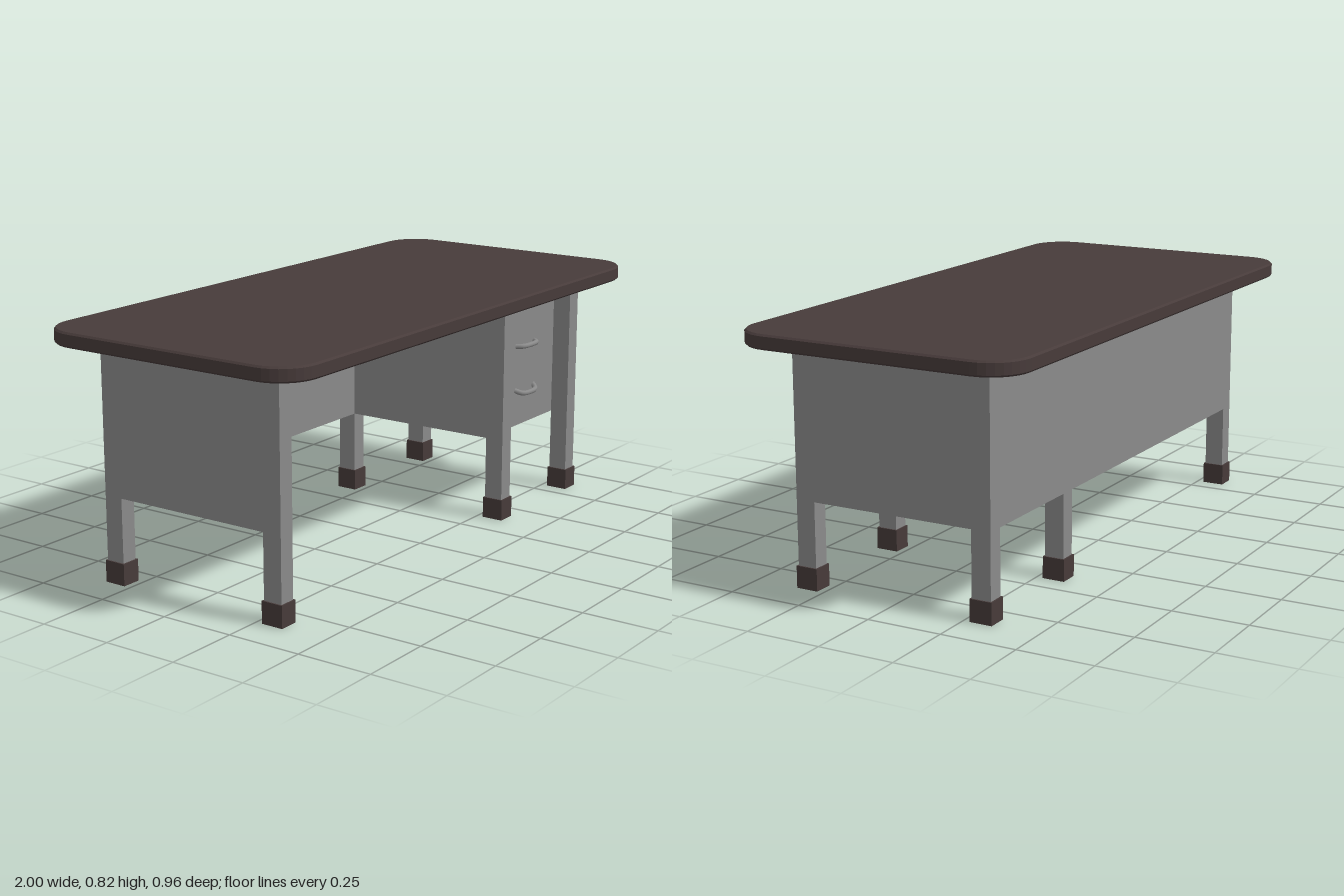
import * as THREE from 'three';

export function createModel() {
  const desk = new THREE.Group();
  desk.name = 'desk';
  const grey = new THREE.MeshStandardMaterial({ color: 0x8a8a8a });
  grey.name = 'grey metal';
  const brown = new THREE.MeshStandardMaterial({ color: 0x473b3a });
  brown.name = 'dark brown';

  // Box given by its limits on each axis
  function box(name, material, [x0, x1], [y0, y1], [z0, z1]) {
    const mesh = new THREE.Mesh(new THREE.BoxGeometry(x1 - x0, y1 - y0, z1 - z0), material);
    mesh.position.set((x0 + x1) / 2, (y0 + y1) / 2, (z0 + z1) / 2);
    mesh.name = name;
    desk.add(mesh);
  }

  const underTop = 0.772, panelBottom = 0.284, footTop = 0.072;
  const halfLeg = 0.028, legIn = 0.277, legOut = 0.342;
  const legX = [-0.843, 0.393, 0.84];

  // Table top: rounded corners and a small bevel
  const bevel = 0.006, w = 1 - bevel, d = 0.48 - bevel, r = 0.12;
  const outline = new THREE.Shape();
  outline.moveTo(-w + r, -d);
  outline.lineTo(w - r, -d);
  outline.absarc(w - r, -d + r, r, -Math.PI / 2, 0);
  outline.absarc(w - r, d - r, r, 0, Math.PI / 2);
  outline.absarc(-w + r, d - r, r, Math.PI / 2, Math.PI);
  outline.absarc(-w + r, -d + r, r, Math.PI, Math.PI * 1.5);
  const topGeometry = new THREE.ExtrudeGeometry(outline, {
    depth: 0.048 - 2 * bevel, curveSegments: 4,
    bevelSize: bevel, bevelThickness: bevel, bevelSegments: 1,
  });
  topGeometry.rotateX(-Math.PI / 2);
  const top = new THREE.Mesh(topGeometry, brown);
  top.name = 'tableTop';
  top.position.y = underTop + bevel;
  desk.add(top);

  // Six legs, each in a slightly wider foot
  for (const x of legX) {
    for (const side of [-1, 1]) {
      const span = (a, b) => (side > 0 ? [a, b] : [-b, -a]);
      box('leg', grey, [x - halfLeg, x + halfLeg], [footTop, underTop], span(legIn, legOut));
      box('foot', brown, [x - 0.033, x + 0.033], [0, footTop], span(legIn - 0.005, legOut + 0.005));
    }
  }

  // Panels as thick as the legs, and the drawer cabinet
  const [left, middle, right] = legX;
  const height = [panelBottom, underTop];
  box('sidePanel', grey, [left - halfLeg, left + halfLeg], height, [-legIn, legIn]);
  box('backPanel', grey, [left + halfLeg, middle - halfLeg], height, [-legOut, -legIn]);
  box('cabinetBack', grey, [middle + halfLeg, right - halfLeg], height, [-legOut, -legIn]);
  box('drawerCabinet', grey, [middle - halfLeg, right + halfLeg], height, [-legIn, legIn]);

  // Bowed drawer handles, each tilted a little differently
  [[0.726, 0.012], [0.57, 0], [0.412, -0.012]].forEach(([y, rise]) => {
    const curve = new THREE.CatmullRomCurve3([
      new THREE.Vector3(-0.063, 0, -0.004),
      new THREE.Vector3(-0.045, rise * 0.8, 0.018),
      new THREE.Vector3(0, rise, 0.025),
      new THREE.Vector3(0.045, rise * 0.8, 0.018),
      new THREE.Vector3(0.063, 0, -0.004),
    ]);
    const handle = new THREE.Mesh(new THREE.TubeGeometry(curve, 16, 0.009, 8), grey);
    handle.name = 'drawerHandle';
    handle.position.set((middle + right) / 2, y, legIn);
    desk.add(handle);
  });

  return desk;
}
